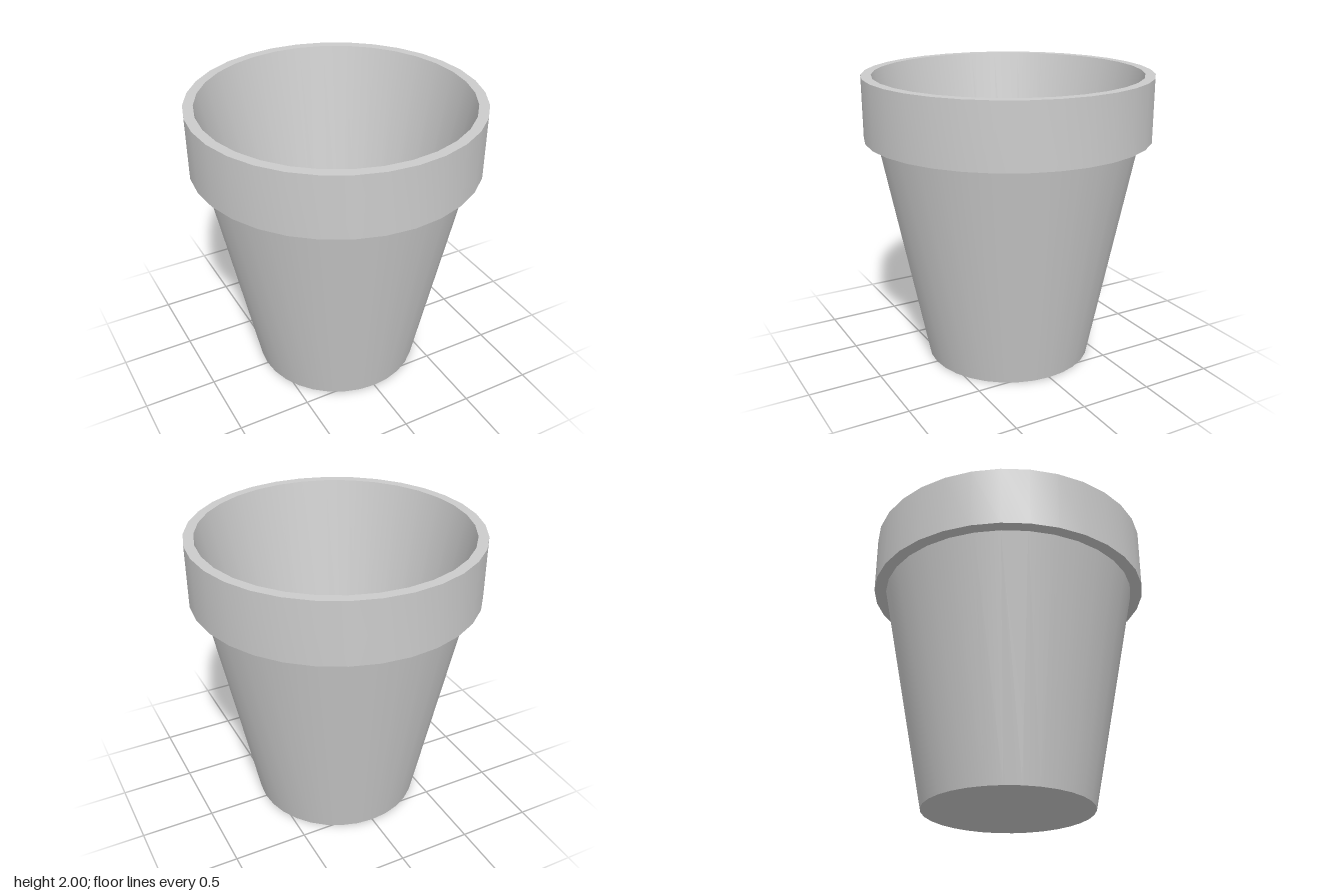
import * as THREE from 'three';
import { toCreasedNormals } from 'three/addons/utils/BufferGeometryUtils.js';

const SIDES = 32;

// Revolve a [radius, height] profile, smooth around and sharp at the corners
function turned(name, profile, material) {
  const points = profile.map(([r, y]) => new THREE.Vector2(r, y));
  const geometry = toCreasedNormals(new THREE.LatheGeometry(points, SIDES), Math.PI / 6);
  const mesh = new THREE.Mesh(geometry, material);
  mesh.name = name;
  return mesh;
}

export function createModel() {
  const group = new THREE.Group();
  group.name = 'flowerPot';
  const clay = new THREE.MeshStandardMaterial({ color: 0xcccccc, side: THREE.DoubleSide });

  // Underside and tapered outer wall
  group.add(turned('outerWall', [[0, 0], [0.575, 0], [0.885, 1.58]], clay));

  // Thick upright collar: underside, band and top lip
  group.add(turned('rim', [[0.885, 1.58], [0.967, 1.58], [0.967, 2], [0.9, 2]], clay));

  // Tapered hollow and its floor
  group.add(turned('interior', [[0.9, 2], [0.53, 0.1], [0, 0.1]], clay));

  return group;
}
